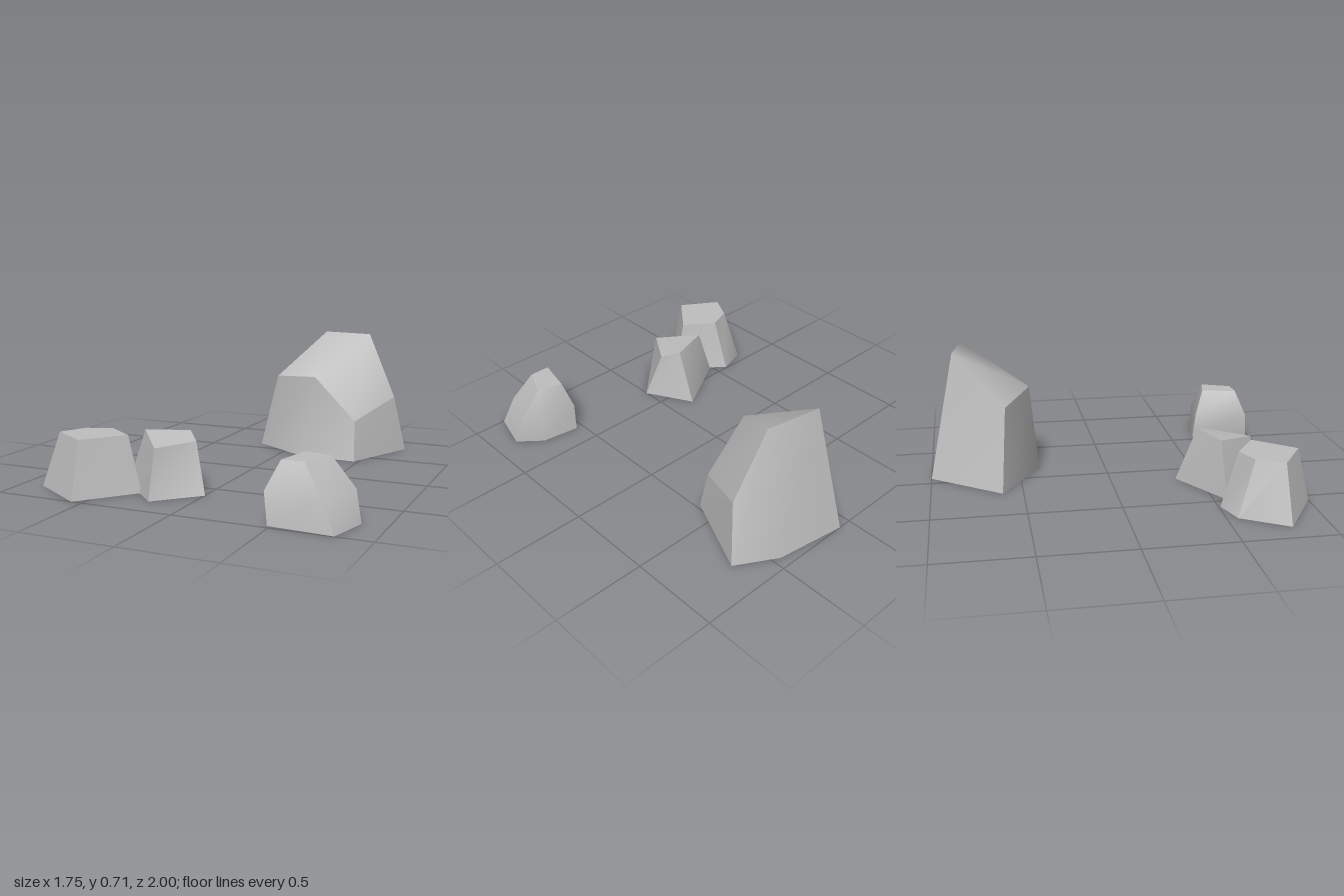
import * as THREE from 'three';
import { mergeGeometries, toCreasedNormals } from 'three/addons/utils/BufferGeometryUtils.js';

const CREASE = THREE.MathUtils.degToRad(40);

function surface(points, index) {
  const g = new THREE.BufferGeometry();
  g.setAttribute('position', new THREE.Float32BufferAttribute(points.flat(), 3));
  g.setIndex(index);
  g.computeVertexNormals();
  return g.toNonIndexed();
}

// Zigzag triangles across one ring of n corners
function capIndex(n) {
  const index = [];
  let lo = 0, hi = n - 1;
  for (let k = 0; k < n - 2; k++) {
    if (k % 2 === 0) index.push(lo, ++lo, hi);
    else index.push(lo, hi - 1, hi--);
  }
  return index;
}

// A hollow boulder, open below, from rings of corners listed bottom to top,
// counterclockwise from above
function rock(name, material, rings, top = rings[rings.length - 1]) {
  const n = rings[0].length;
  const index = [];
  for (let r = 0; r < rings.length - 1; r++) {
    const upper = rings[r + 1];
    for (let i = 0; i < n; i++) {
      const j = (i + 1) % n;
      const a = r * n + i, b = r * n + j, c = b + n, d = a + n;
      index.push(a, b, c);
      if (upper[i] !== upper[j]) index.push(a, c, d);
    }
  }
  const sides = toCreasedNormals(surface(rings.flat(), index), CREASE);
  const cap = surface(top, capIndex(top.length));
  const mesh = new THREE.Mesh(mergeGeometries([sides, cap]), material);
  mesh.name = name;
  return mesh;
}

export function createModel() {
  // Double-sided because the rocks are open underneath
  const stone = new THREE.MeshStandardMaterial({ color: 0xbebebe, side: THREE.DoubleSide });
  stone.name = 'grey stone';
  const group = new THREE.Group();
  group.name = 'rocks';

  // Tall boulder with a sloping front
  group.add(rock('largeBoulder', stone, [
    [[-0.212, 0, -0.612], [0.15, 0, -0.38], [0.477, 0, -0.372],
      [0.672, 0, -0.81], [0.455, 0, -0.94], [0.072, 0, -1]],
    [[-0.088, 0.45, -0.58], [0.21, 0.48, -0.425], [0.463, 0.23, -0.42],
      [0.61, 0.335, -0.752], [0.434, 0.71, -0.8], [0.134, 0.71, -0.855]],
  ]));

  // Flat-topped rock
  group.add(rock('flatRock', stone, [
    [[-0.875, 0, 0.8], [-0.56, 0, 1], [-0.32, 0, 0.72], [-0.572, 0, 0.51], [-0.73, 0, 0.56]],
    [[-0.762, 0.3, 0.79], [-0.56, 0.3, 0.925], [-0.393, 0.3, 0.72], [-0.56, 0.3, 0.6], [-0.69, 0.3, 0.65]],
  ]));

  // Wedge rock leaning beside it
  group.add(rock('wedgeRock', stone, [
    [[-0.485, 0, 0.57], [-0.21, 0, 0.845], [0.002, 0, 0.635], [-0.145, 0, 0.367]],
    [[-0.383, 0.3, 0.56], [-0.21, 0.257, 0.775], [-0.078, 0.265, 0.57], [-0.153, 0.3, 0.485]],
  ]));

  // Small rounded rock; two of its sides meet at one top corner
  const tip = [0.71, 0.3, 0.735];
  const crown = [[0.525, 0.3, 0.905], [0.64, 0.3, 0.905], tip, [0.57, 0.3, 0.705]];
  group.add(rock('roundedRock', stone, [
    [[0.485, 0, 0.975], [0.815, 0, 0.997], [0.873, 0, 0.775], [0.75, 0, 0.67], [0.54, 0, 0.64]],
    [[0.463, 0.16, 0.96], [0.742, 0.15, 0.97], [0.835, 0.155, 0.74], [0.745, 0.15, 0.68], [0.53, 0.15, 0.655]],
    [crown[0], crown[1], tip, tip, crown[3]],
  ], crown));

  return group;
}
